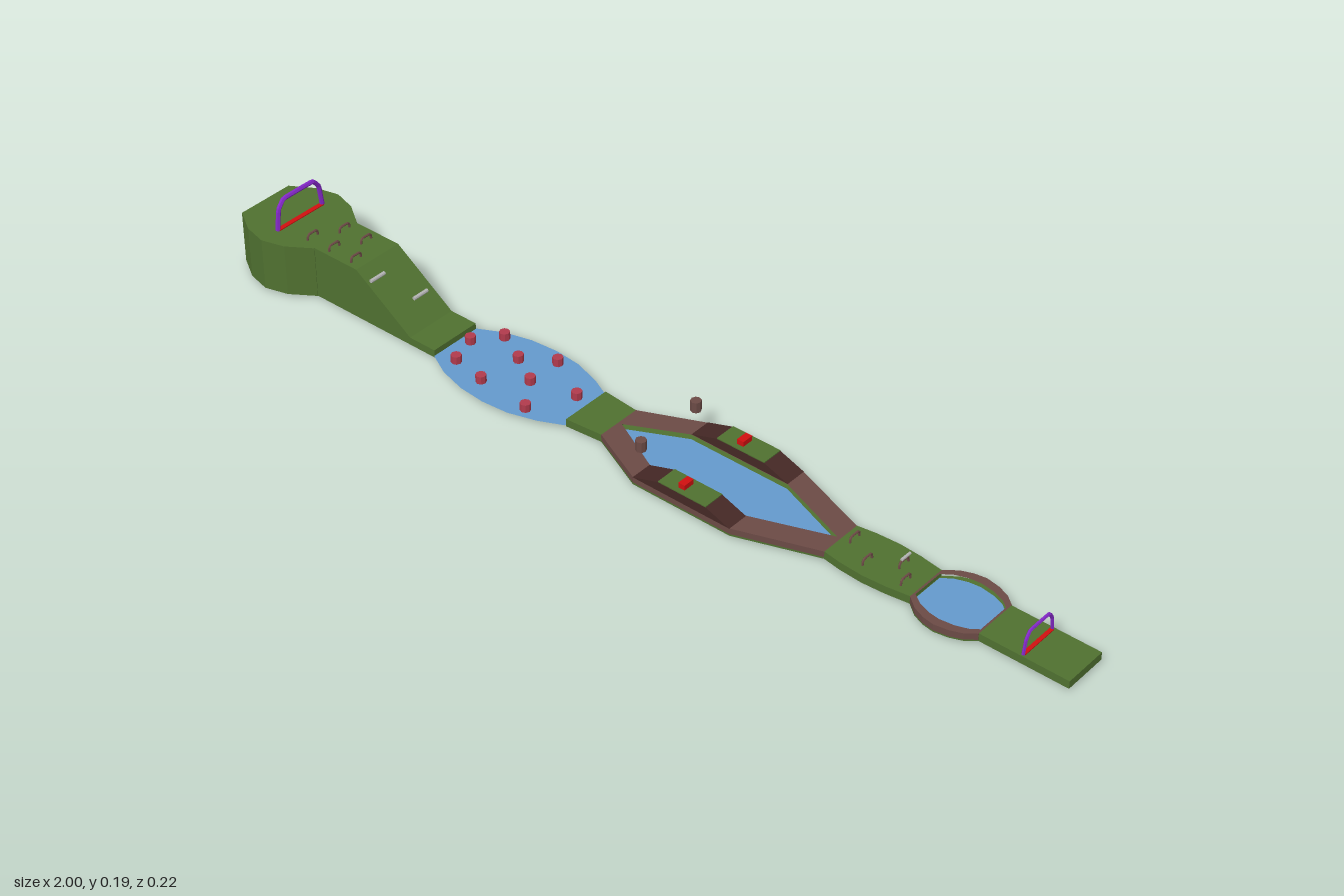
import * as THREE from 'three';

const mat = (color, extra = {}) => new THREE.MeshStandardMaterial({ color, flatShading: true, ...extra });
const GREEN = mat(0x4f7030), BROWN = mat(0x6b4a45), DARK = mat(0x452825), RED = mat(0xd01010);
const PURPLE = mat(0x8428c8), POST = mat(0xb03a4c), GREY = mat(0xb4b4b4);
const WATER = mat(0x6499cc, { side: THREE.DoubleSide });

const BASE = 0.005, DECK = 0.022, TOP = 0.12;

export function createModel() {
  const model = new THREE.Group();
  const add = (name, geometry, material, x = 0, y = 0, z = 0) => {
    const mesh = new THREE.Mesh(geometry, material);
    mesh.name = name;
    mesh.position.set(x, y, z);
    model.add(mesh);
    return mesh;
  };

  // Outline symmetric about the x axis, from a half profile of [x, z]
  const mirrored = half => [...half, ...half.filter(p => p[1] > 0).reverse().map(([x, z]) => [x, -z])]
    .map(([x, z]) => new THREE.Vector2(x, z));
  // Horizontal slab between two heights, with an optional hole
  const slab = (name, half, y0, y1, material, hole) => {
    const shape = new THREE.Shape(mirrored(half));
    if (hole) shape.holes.push(new THREE.Path(mirrored(hole)));
    const g = new THREE.ExtrudeGeometry(shape, { depth: y1 - y0, bevelEnabled: false });
    return add(name, g.rotateX(-Math.PI / 2).translate(0, y0, 0), material);
  };
  // Side profile of [x, y] drawn out along z
  const profile = (name, pts, width, z, material) => {
    const shape = new THREE.Shape(pts.map(p => new THREE.Vector2(...p)));
    const g = new THREE.ExtrudeGeometry(shape, { depth: width, bevelEnabled: false });
    return add(name, g.translate(0, 0, z - width / 2), material);
  };
  const water = (name, half, y) =>
    add(name, new THREE.ShapeGeometry(new THREE.Shape(mirrored(half))).rotateX(-Math.PI / 2), WATER, 0, y);
  // Arch standing across the course, from a half profile of [z, y]
  const arch = (name, half, radius, material, x, y, z = 0) => {
    const pts = [...half, ...half.slice().reverse().map(([a, b]) => [-a, b])]
      .map(([a, b]) => new THREE.Vector3(0, b, a));
    const curve = new THREE.CatmullRomCurve3(pts, false, 'catmullrom', 0.1);
    return add(name, new THREE.TubeGeometry(curve, 32, radius, 6), material, x, y, z);
  };
  const handle = (x, y, z) =>
    arch('handle', [[0.014, 0], [0.013, 0.008], [0.009, 0.012]], 0.0025, BROWN, x, y, z);

  // Start tower and slope
  slab('startTower', [[-1, 0.065], [-0.95, 0.096], [-0.9, 0.108], [-0.85, 0.094], [-0.8, 0.06]], BASE, TOP, GREEN);
  profile('startSlope', [[-0.8, BASE], [-0.48, BASE], [-0.48, DECK], [-0.545, DECK], [-0.685, TOP], [-0.8, TOP]],
    0.118, 0, GREEN);
  [-0.83, -0.8, -0.77, -0.74, -0.71].forEach((x, i) => handle(x, TOP, i % 2 ? -0.025 : 0.034));
  for (const [x, y, z] of [[-0.65, 0.106, 0.036], [-0.59, 0.062, -0.02]])
    add('slopeBar', new THREE.CylinderGeometry(0.004, 0.004, 0.038, 8).rotateX(Math.PI / 2), GREY, x, y, z);

  // Start and finish arches with their floor lines
  arch('startArch', [[0.062, 0], [0.056, 0.046], [0.04, 0.065]], 0.005, PURPLE, -0.9, TOP);
  add('startLine', new THREE.BoxGeometry(0.01, 0.002, 0.124), RED, -0.9, TOP + 0.001);
  arch('finishArch', [[0.044, 0], [0.039, 0.03], [0.028, 0.045]], 0.0035, PURPLE, 0.9, DECK);
  add('finishLine', new THREE.BoxGeometry(0.008, 0.002, 0.085), RED, 0.9, DECK + 0.001);

  // First pool with stepping posts
  water('firstPool', [[-0.48, 0.06], [-0.43, 0.086], [-0.37, 0.102], [-0.31, 0.107], [-0.25, 0.102],
    [-0.19, 0.084], [-0.14, 0.06]], 0.009);
  for (const [x, z] of [[-0.457, -0.019], [-0.415, -0.072], [-0.435, 0.045], [-0.355, 0.061], [-0.345, -0.035],
    [-0.28, -0.077], [-0.28, 0.003], [-0.23, 0.072], [-0.18, -0.019]])
    add('steppingPost', new THREE.CylinderGeometry(0.011, 0.011, 0.026, 8), POST, x, 0.013, z);

  // Large pool with its surrounding walkway
  slab('firstBridge', [[-0.14, 0.057], [-0.058, 0.05]], BASE, DECK, GREEN);
  const outer = [[-0.058, 0.05], [0.07, 0.108], [0.3, 0.108], [0.47, 0.048]];
  const inner = [[-0.05, 0], [0.07, 0.06], [0.3, 0.06], [0.462, 0]];
  slab('walkwayBase', outer, BASE, 0.009, GREEN, inner);
  slab('walkway', outer, 0.009, DECK, BROWN, inner);
  water('largePool', inner, 0.011);
  for (const side of [-1, 1]) {
    const z = side * 0.085;
    profile('raisedRamp', [[0.07, DECK], [0.3, DECK], [0.245, 0.042], [0.13, 0.042]], 0.048, z, DARK);
    add('rampDeck', new THREE.BoxGeometry(0.113, 0.002, 0.048), GREEN, 0.1875, 0.043, z);
    add('rampBlock', new THREE.BoxGeometry(0.015, 0.011, 0.026), RED, 0.178, 0.0495, z);
    add('hangingBag', new THREE.CylinderGeometry(0.011, 0.011, 0.023, 8), BROWN, 0.065, 0.078, side * 0.079);
  }

  // Second bridge with handles
  slab('secondBridge', [[0.47, 0.048], [0.51, 0.054], [0.56, 0.057], [0.61, 0.054], [0.66, 0.047]], BASE, DECK, GREEN);
  [0.49, 0.545, 0.6, 0.63].forEach((x, i) => handle(x, DECK, i % 2 ? 0.02 : -0.015));
  add('bridgeBar', new THREE.CylinderGeometry(0.003, 0.003, 0.026, 8).rotateX(Math.PI / 2), GREY, 0.6, 0.038, -0.02);

  // Small round pool with curved rims
  const ring = [[0.66, 0.047], [0.685, 0.067], [0.71, 0.077], [0.735, 0.081], [0.765, 0.076], [0.79, 0.066], [0.81, 0.05]];
  const pool = [[0.664, 0.036], [0.685, 0.051], [0.71, 0.06], [0.735, 0.063], [0.765, 0.059], [0.79, 0.05], [0.806, 0.038]];
  slab('smallPoolBase', ring, BASE, 0.008, GREEN);
  slab('smallPoolRim', ring, 0.008, DECK, BROWN, pool);
  water('smallPool', pool, 0.013);

  // Finish platform
  slab('finishPlatform', [[0.81, 0.049], [1, 0.049]], BASE, DECK, GREEN);

  return model;
}
